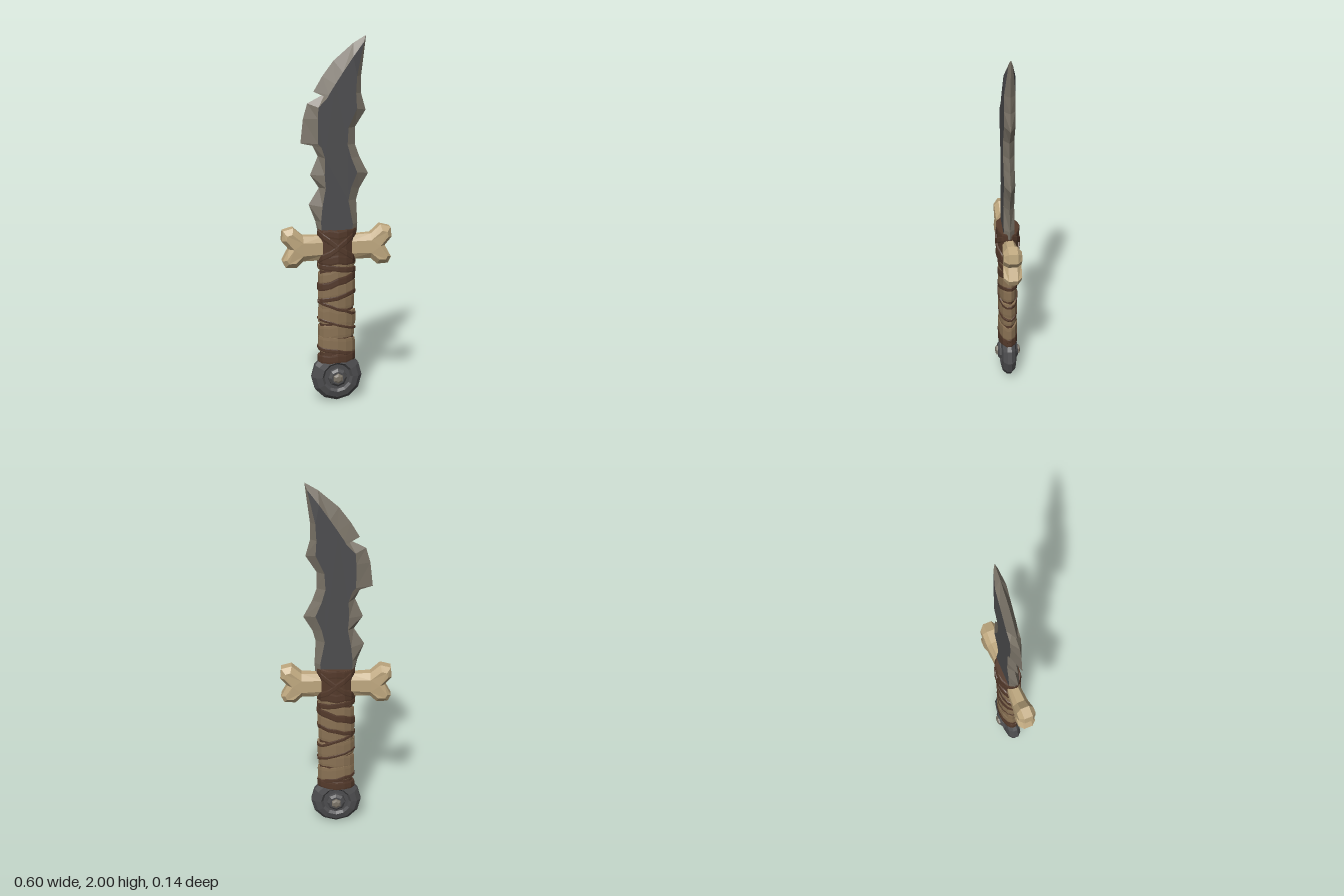
import * as THREE from 'three';

const mat = (name, color) => Object.assign(new THREE.MeshStandardMaterial({ color }), { name });

// split faces so every facet is shaded flat
function facet(geometry) {
  const g = geometry.index ? geometry.toNonIndexed() : geometry;
  g.computeVertexNormals();
  return g;
}

function fromTriangles(points) {
  const g = new THREE.BufferGeometry();
  g.setAttribute('position', new THREE.Float32BufferAttribute(points.flat(), 3));
  return facet(g);
}

// double-sided bevelled plate: rim between two matching outlines, plus flat faces
function bevelledPlate(outer, inner, outerZ, innerZ) {
  const rim = [], face = [];
  const at = (p, s, depth) => [p[0], p[1], s * depth(p[0], p[1])];
  const add = (list, s, a, b, c) => list.push(...(s > 0 ? [a, b, c] : [a, c, b]));
  const triangles = THREE.ShapeUtils.triangulateShape(inner.map(p => new THREE.Vector2(...p)), []);
  for (const s of [1, -1]) {
    outer.forEach((p, i) => {
      const j = (i + 1) % outer.length;
      const a = at(p, s, outerZ), b = at(outer[j], s, outerZ);
      const c = at(inner[j], s, innerZ), d = at(inner[i], s, innerZ);
      add(rim, s, a, b, c);
      add(rim, s, a, c, d);
      // half of the narrow outer wall
      const e = [a[0], a[1], 0], f = [b[0], b[1], 0];
      if (a[2] !== 0) {
        add(rim, s, e, f, b);
        add(rim, s, e, b, a);
      }
    });
    for (const t of triangles) add(face, s, ...t.map(k => at(inner[k], s, innerZ)));
  }
  return { rim: fromTriangles(rim), face: fromTriangles(face) };
}

// tilted elliptical strap around the grip, with slightly ragged edges
function strap(y, height, rx, rz, slope = 0, seed = 0) {
  const h = height / 2;
  const profile = [[0.86, -h], [0.98, -h], [1, -h * 0.6], [1, h * 0.6], [0.98, h], [0.86, h]];
  const g = new THREE.LatheGeometry(profile.map(p => new THREE.Vector2(...p)), 14);
  const pos = g.attributes.position;
  for (let i = 0; i < pos.count; i++) {
    const x = pos.getX(i), z = pos.getZ(i);
    const rough = Math.sin(x * 7 + seed * 2.3) * Math.cos(z * 5 + seed);
    const swell = 1 + 0.025 * rough;
    pos.setXYZ(i, x * rx * swell, y + pos.getY(i) + slope * x * rx + 0.006 * rough, z * rz * swell);
  }
  return facet(g);
}

export function createModel() {
  const root = new THREE.Group();
  root.name = 'dagger';
  const steel = mat('dark steel', 0x4d4d4f);
  const edge = mat('worn edge steel', 0x7b7468);
  const bone = mat('bone', 0xc0a980);
  const tan = mat('tan leather', 0x8a7254);
  const brown = mat('brown leather', 0x543a2b);

  const add = (name, geometry, material, parent = root) => {
    const m = new THREE.Mesh(geometry, material);
    m.name = name;
    parent.add(m);
    return m;
  };
  const group = name => {
    const g = new THREE.Group();
    g.name = name;
    root.add(g);
    return g;
  };

  // blade: notched cutting edge around a flat dark core
  const bladeOuter = [
    [-0.1, 0.95], [0.112, 0.95], [0.115, 1.0], [0.108, 1.13], [0.125, 1.19], [0.172, 1.27],
    [0.125, 1.36], [0.1, 1.43], [0.1, 1.52], [0.157, 1.61], [0.132, 1.7], [0.132, 1.79],
    [0.158, 2.0], [0.09, 1.96], [-0.015, 1.87], [-0.075, 1.79], [-0.122, 1.71], [-0.06, 1.7],
    [-0.155, 1.65], [-0.178, 1.57], [-0.192, 1.44], [-0.13, 1.43], [-0.1, 1.37],
    [-0.142, 1.27], [-0.095, 1.2], [-0.15, 1.11], [-0.115, 1.02]];
  const bladeInner = [
    [-0.085, 0.95], [0.08, 0.95], [0.085, 1.0], [0.06, 1.13], [0.075, 1.2], [0.108, 1.28],
    [0.075, 1.36], [0.055, 1.43], [0.06, 1.52], [0.105, 1.62], [0.1, 1.7], [0.105, 1.79],
    [0.145, 1.965], [0.085, 1.89], [0.03, 1.81], [-0.01, 1.75], [-0.045, 1.695], [-0.052, 1.68],
    [-0.1, 1.63], [-0.104, 1.57], [-0.104, 1.44], [-0.085, 1.42], [-0.065, 1.36],
    [-0.068, 1.27], [-0.062, 1.2], [-0.08, 1.1], [-0.088, 1.02]];
  const blade = group('blade');
  const bladeParts = bevelledPlate(bladeOuter, bladeInner, () => 0,
    (x, y) => 0.029 - 0.018 * THREE.MathUtils.smoothstep(y, 1.9, 1.97));
  add('bladeEdge', bladeParts.rim, edge, blade);
  add('bladeFlat', bladeParts.face, steel, blade);

  // guard: a knuckled bone end on each side
  const boneOuter = [
    [0.07, 0.805], [0.185, 0.805], [0.22, 0.772], [0.28, 0.775], [0.297, 0.81], [0.262, 0.875],
    [0.3, 0.92], [0.294, 0.975], [0.238, 0.99], [0.185, 0.943], [0.07, 0.938]];
  const boneInner = [
    [0.07, 0.84], [0.185, 0.838], [0.228, 0.8], [0.265, 0.8], [0.275, 0.82], [0.235, 0.875],
    [0.278, 0.925], [0.272, 0.952], [0.245, 0.96], [0.185, 0.908], [0.07, 0.905]];
  const boneDepth = x => 0.034 + 0.014 * THREE.MathUtils.smoothstep(Math.abs(x), 0.12, 0.23);
  for (const side of [1, -1]) {
    const flip = list => side > 0 ? list : list.map(([x, y]) => [-x, y]).reverse();
    const guard = group(side > 0 ? 'leftGuardBone' : 'rightGuardBone');
    const parts = bevelledPlate(flip(boneOuter), flip(boneInner), x => boneDepth(x) * 0.5, boneDepth);
    add('boneSides', parts.rim, bone, guard);
    add('boneFaces', parts.face, bone, guard);
  }

  // grip: brown core with overlapping tan wraps
  const grip = group('grip');
  const core = new THREE.CylinderGeometry(1, 1, 0.72, 14);
  core.scale(0.093, 1, 0.045).translate(0, 0.6, 0);
  add('gripCore', facet(core), brown, grip);
  const wraps = [
    [0.325, 0.085, -0.12], [0.405, 0.075, 0.08], [0.485, 0.085, -0.1], [0.565, 0.075, 0.12],
    [0.64, 0.07, 0.2], [0.725, 0.06, 0.25], [0.785, 0.045, 0.1]];
  wraps.forEach(([y, h, slope], i) =>
    add('tanWrap', strap(y, h, 0.104 - 0.004 * (i % 2), 0.053 - 0.003 * (i % 2), slope, i), tan, grip));
  const cords = [
    [0.25, 0.045, 0.05], [0.29, 0.022, -0.2], [0.445, 0.014, -0.3], [0.535, 0.018, -0.35],
    [0.6, 0.024, 0.25], [0.685, 0.042, 0.32], [0.76, 0.03, -0.15]];
  cords.forEach(([y, h, slope], i) =>
    add('brownCord', strap(y, h, 0.106, 0.055, slope, i + 9), brown, grip));

  // collar binding the guard, with crossed straps
  const collar = group('collar');
  const collarCore = new THREE.CylinderGeometry(1, 1, 0.18, 14);
  collarCore.scale(0.1, 1, 0.059).translate(0, 0.88, 0);
  add('collarCore', facet(collarCore), brown, collar);
  [[0.81, 0.05, 0], [0.95, 0.045, 0], [0.88, 0.035, 0.75], [0.88, 0.035, -0.75]].forEach(([y, h, slope], i) =>
    add('collarStrap', strap(y, h, 0.105, slope ? 0.068 : 0.063, slope, i + 20), brown, collar));

  // pommel: bevelled disc with a recessed ring and a raised stud
  const pommel = group('pommel');
  pommel.position.y = 0.14;
  const turned = (points, sides) => {
    const g = new THREE.LatheGeometry(points.map(p => new THREE.Vector2(...p)), sides);
    return facet(g.rotateX(Math.PI / 2));
  };
  const half = [[0.14, 0.012], [0.118, 0.034], [0.085, 0.042], [0.072, 0.028], [0, 0.028]];
  add('pommelDisc', turned([...half.map(([r, z]) => [r, -z]).reverse(), ...half], 12), steel, pommel);
  for (const s of [1, -1]) {
    const base = add('studBase', turned([[0.054, 0.02], [0.052, 0.045], [0.038, 0.056], [0, 0.056]], 8), steel, pommel);
    const stud = add('stud', turned([[0.03, 0.05], [0.028, 0.064], [0.016, 0.07], [0, 0.07]], 6), edge, pommel);
    if (s < 0) base.rotation.y = stud.rotation.y = Math.PI;
  }
  return root;
}
